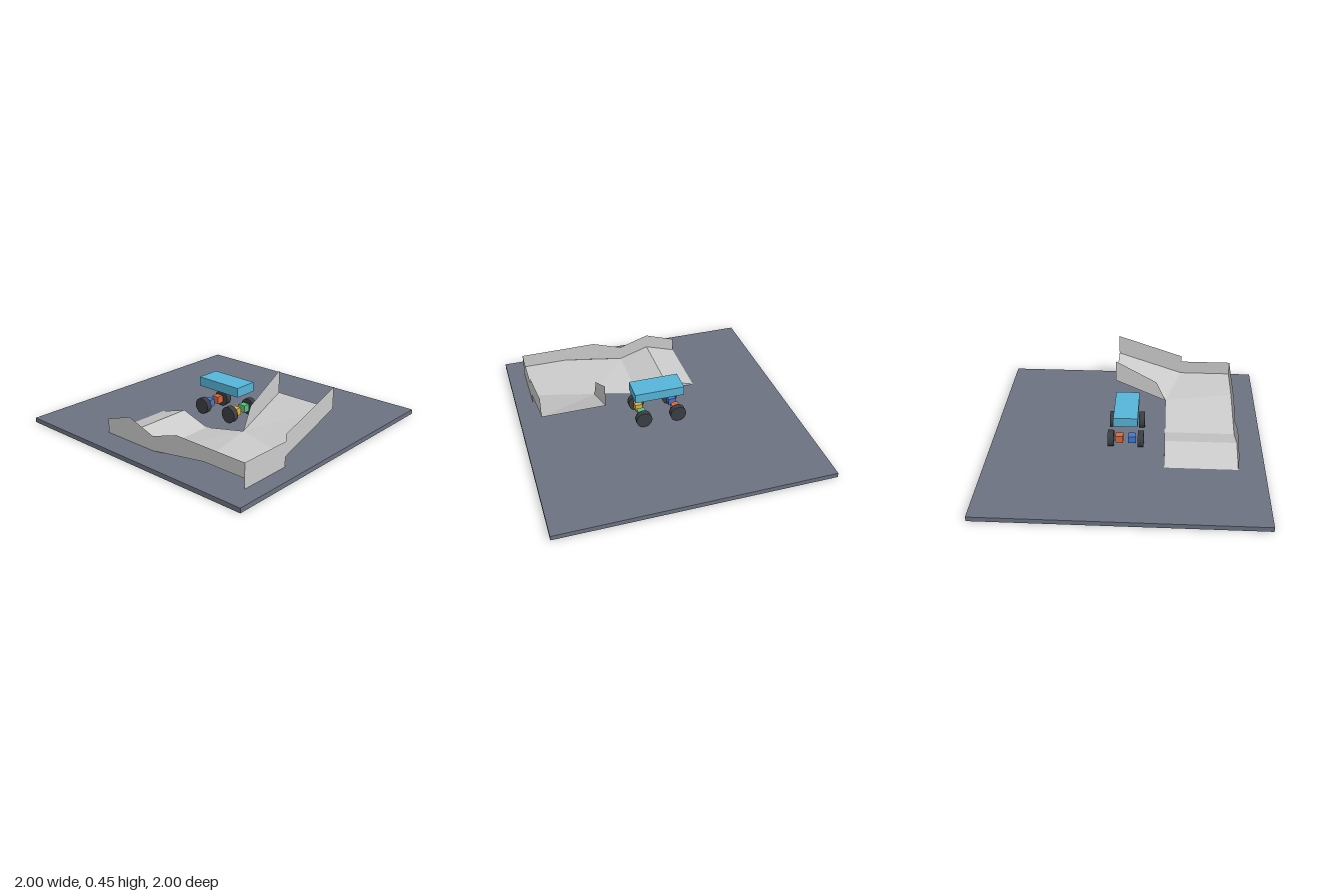
import * as THREE from 'three';

const GROUND = 0.034; // top of the ground slab
const DECK = 0.107;   // height of the raised track

const paint = (color) => new THREE.MeshStandardMaterial({ color });
const sheet = new THREE.MeshStandardMaterial({ color: 0xcccccc, side: THREE.DoubleSide, flatShading: true });

function add(parent, name, geometry, material, x = 0, y = 0, z = 0) {
  const mesh = new THREE.Mesh(geometry, material);
  mesh.name = name;
  mesh.position.set(x, y, z);
  parent.add(mesh);
  return mesh;
}

// Thin sheet stretched between two polylines with equal point counts
function strip(parent, name, a, b) {
  const v = [];
  for (let i = 0; i < a.length - 1; i++) {
    v.push(...a[i], ...b[i], ...b[i + 1], ...a[i], ...b[i + 1], ...a[i + 1]);
  }
  const g = new THREE.BufferGeometry();
  g.setAttribute('position', new THREE.Float32BufferAttribute(v, 3));
  g.computeVertexNormals();
  return add(parent, name, g, sheet);
}

function buildTrack() {
  const track = new THREE.Group();
  track.name = 'track';
  const inner = 0.285, outer = 0.81, left = 0.87, bend = 0.41, far = -0.105;

  // Floor: hump, dip, long rise and flat corner
  const innerEdge = [[-0.39, GROUND, inner], [-0.16, DECK, inner], [0.065, GROUND, inner],
    [bend, DECK, inner], [left, DECK, bend]];
  const outerEdge = [[-0.39, GROUND, outer], [-0.16, DECK, outer], [0.065, GROUND, outer],
    [0.53, DECK, outer], [left, DECK, outer]];
  strip(track, 'trackFloor', outerEdge, innerEdge);

  // Side closing the hump at the inner edge
  strip(track, 'humpSide', innerEdge.slice(0, 3),
    innerEdge.slice(0, 3).map(([x, , z]) => [x, GROUND, z]));

  // Climbing floor after the corner
  const top = 0.28;
  strip(track, 'climbFloor', [[bend, DECK, inner], [bend, top, far]],
    [[left, DECK, bend], [left, top, far]]);

  // Outer wall following the hump and the rise: x, bottom, top
  const wall = [[-0.39, GROUND, 0.14], [-0.16, GROUND, 0.217], [0.065, GROUND, 0.143],
    [0.29, 0.07, 0.217], [0.53, DECK, 0.215], [left, DECK, 0.213]];
  strip(track, 'outerWall', wall.map(([x, y]) => [x, y, outer]), wall.map(([x, , y]) => [x, y, outer]));

  // Corner end wall and the walls beside the climb
  strip(track, 'cornerWall', [[left, GROUND, outer], [left, GROUND, bend]],
    [[left, 0.213, outer], [left, 0.213, bend]]);
  strip(track, 'climbLeftWall', [[left, DECK, bend], [left, top, far]],
    [[left, 0.263, bend], [left, 0.436, far]]);
  strip(track, 'climbRightWall', [[bend, DECK, inner], [bend, top, far]],
    [[bend, 0.27, 0.21], [bend, 0.447, far]]);
  return track;
}

function buildCar() {
  const car = new THREE.Group();
  car.name = 'car';
  add(car, 'carBody', new THREE.BoxGeometry(0.372, 0.07, 0.176), paint(0x56b4d8), 0, 0.272, 0);

  const wheelGeo = new THREE.CylinderGeometry(0.06, 0.06, 0.043, 24).rotateX(Math.PI / 2);
  const hubGeo = new THREE.BoxGeometry(0.056, 0.055, 0.056);
  const rubber = paint(0x3a3e44);
  const hubColors = [[1, 1, 0xe0b040], [1, -1, 0x58c080], [-1, 1, 0x3f78d0], [-1, -1, 0xd8683c]];

  // One wheel and one coloured hub block at each corner
  for (const [sx, sz, color] of hubColors) {
    add(car, 'wheel', wheelGeo, rubber, sx * 0.131, 0.1, sz * 0.11);
    add(car, 'hubBlock', hubGeo, paint(color), sx * 0.131, 0.105, sz * 0.047);
  }
  return car;
}

export function createModel() {
  const model = new THREE.Group();
  model.name = 'carAndTrack';
  add(model, 'ground', new THREE.BoxGeometry(2, GROUND, 2), paint(0x6b7280), 0, GROUND / 2, 0);
  model.add(buildTrack(), buildCar());
  return model;
}
